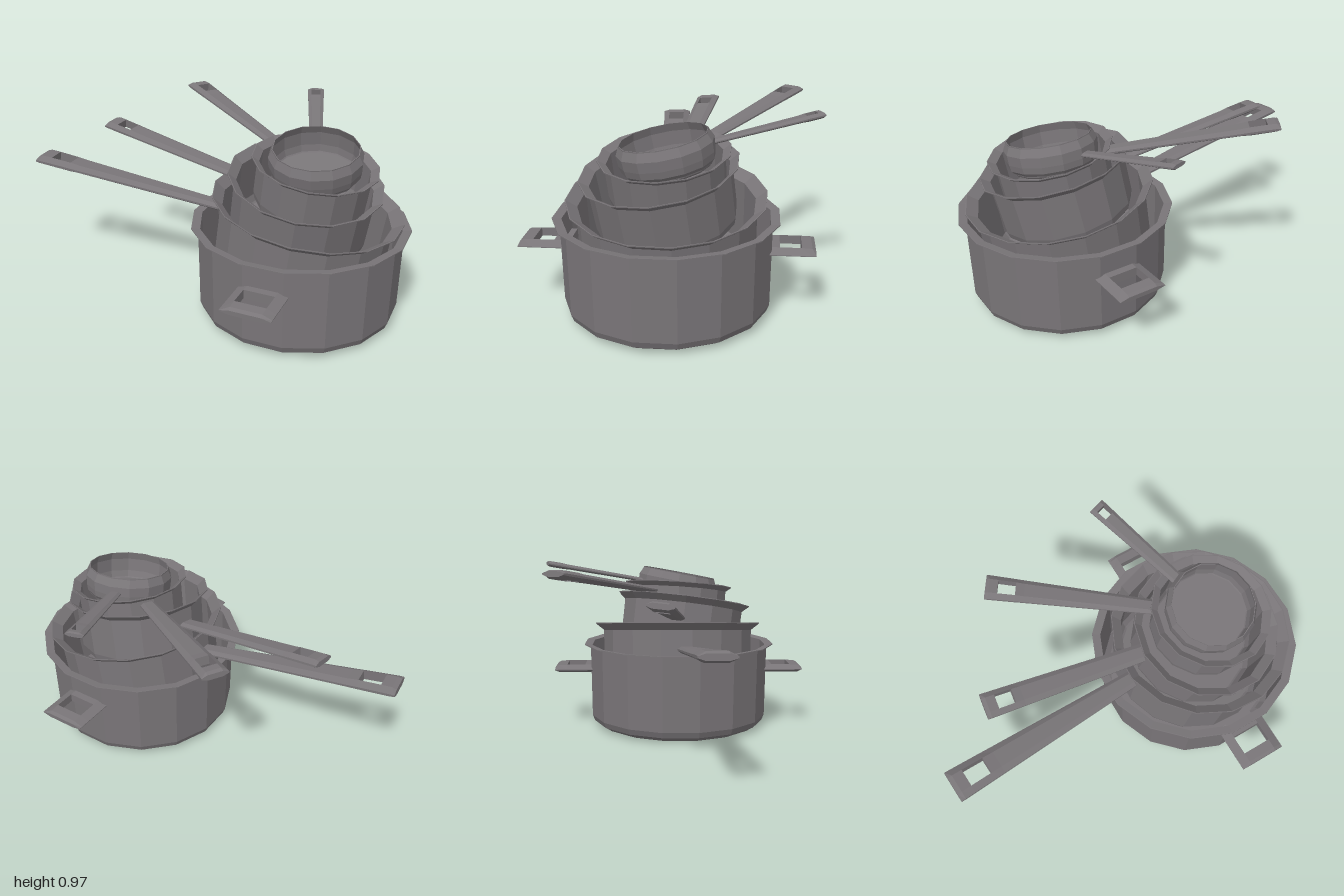
import * as THREE from 'three';

const material = new THREE.MeshStandardMaterial({
  color: 0x797578, flatShading: true, side: THREE.DoubleSide,
});

function addMesh(parent, name, geometry) {
  const mesh = new THREE.Mesh(geometry, material);
  mesh.name = name;
  parent.add(mesh);
  return mesh;
}

// Bar along +x, thick in the middle and thin at its long edges, with a square hole.
// rows: [x, width, thickness]; the hole lies between rows holeRow and holeRow + 1
function barGeometry(rows, holeRow, holeRatio, edge) {
  const across = [-1, -holeRatio, holeRatio, 1];
  const positions = [];
  const point = (i, j, s) => {
    const [x, width, thick] = rows[i];
    const outer = j === 0 || j === 3;
    return [x, s * thick / 2 * (outer ? edge : 1), across[j] * width / 2];
  };
  const quad = (corners, flip) => {
    const [a, b, c, d] = (flip ? corners.reverse() : corners).map((q) => point(...q));
    positions.push(...a, ...b, ...c, ...a, ...c, ...d);
  };
  const sideWall = (i, j, flip) =>
    quad([[i, j, 1], [i + 1, j, 1], [i + 1, j, -1], [i, j, -1]], flip);
  const endWall = (i, j, flip) =>
    quad([[i, j, 1], [i, j, -1], [i, j + 1, -1], [i, j + 1, 1]], flip);

  const last = rows.length - 1;
  for (let i = 0; i < last; i++) {
    for (let j = 0; j < 3; j++) {
      if (i === holeRow && j === 1) continue;
      for (const s of [1, -1])
        quad([[i, j, s], [i, j + 1, s], [i + 1, j + 1, s], [i + 1, j, s]], s < 0);
    }
    sideWall(i, 0, false);
    sideWall(i, 3, true);
  }
  for (let j = 0; j < 3; j++) {
    endWall(0, j, false);
    endWall(last, j, true);
  }
  // Walls of the hole
  sideWall(holeRow, 1, true);
  sideWall(holeRow, 2, false);
  endWall(holeRow, 1, true);
  endWall(holeRow + 1, 1, false);

  const geometry = new THREE.BufferGeometry();
  geometry.setAttribute('position', new THREE.Float32BufferAttribute(positions, 3));
  geometry.computeVertexNormals();
  return geometry;
}

// Thin-walled vessel; y = 0 is the rim, r the body radius, R the rim radius
function vesselGeometry(r, R, h, lip, sides) {
  const t = 0.01;
  const profile = [
    [0, -h], [r * 0.85, -h], [r * 0.965, -h + 0.032], [r * 0.99, -h + 0.065],
    [r, -lip], [R, -0.005], [R, 0], [R - 0.004, 0], [r - t, -lip + 0.004],
    [r * 0.99 - t, -h + 0.05], [r * 0.9, -h + t], [0, -h + t],
  ].map(([x, y]) => new THREE.Vector2(x, y));
  return new THREE.LatheGeometry(profile, sides);
}

// rim: rim centre; slope: rise of the rim plane along x and z; end: handle tip in x and z;
// w: handle width at root and tip; hole: its length; gap: hole to tip
const pans = [
  { name: 'largeSaucepan', rim: [0.478, 0.595, -0.012], slope: [-0.135, 0.03], r: 0.44, R: 0.487, h: 0.42,
    lip: 0.042, sides: 16, end: [-0.948, 0.447], drop: 0.15, w: [0.09, 0.17], hole: 0.115, gap: 0.077, thick: 0.052 },
  { name: 'mediumSaucepan', rim: [0.485, 0.735, 0.025], slope: [-0.19, -0.08], r: 0.352, R: 0.39, h: 0.33,
    lip: 0.038, sides: 14, end: [-0.692, 0.155], drop: 0.127, w: [0.095, 0.132], hole: 0.087, gap: 0.065, thick: 0.044 },
  { name: 'smallSaucepan', rim: [0.512, 0.82, -0.015], slope: [-0.16, -0.03], r: 0.287, R: 0.318, h: 0.26,
    lip: 0.028, sides: 14, end: [-0.545, -0.398], drop: 0.055, w: [0.08, 0.132], hole: 0.088, gap: 0.06, thick: 0.044 },
  { name: 'tinySaucepan', rim: [0.512, 0.895, -0.01], slope: [-0.08, -0.17], r: 0.235, R: 0.216, h: 0.16,
    lip: 0.045, sides: 14, end: [0.105, -0.665], drop: 0.08, w: [0.065, 0.092], hole: 0.058, gap: 0.03, thick: 0.03 },
];

function createPan(p) {
  const pan = new THREE.Group();
  pan.name = p.name;
  const [sx, sz] = p.slope;
  pan.position.set(...p.rim);
  pan.quaternion.setFromUnitVectors(
    new THREE.Vector3(0, 1, 0), new THREE.Vector3(-sx, 1, -sz).normalize());
  addMesh(pan, 'panBody', vesselGeometry(p.r, p.R, p.h, p.lip, p.sides));

  // Long handle widening towards its tip, with a hanging hole
  const dx = p.end[0] - p.rim[0], dz = p.end[1] - p.rim[2];
  const tip = Math.hypot(dx, dz, sx * dx + sz * dz);
  const root = p.r - 0.013;
  const holeEnd = tip - p.gap;
  const rows = [
    [root, 0.7], [holeEnd - p.hole * 1.5, 0.85], [holeEnd - p.hole, 1],
    [holeEnd, 1], [tip - p.gap * 0.3, 0.95], [tip, 0.6],
  ].map(([x, k]) => [
    x, THREE.MathUtils.mapLinear(x, root, tip, p.w[0], p.w[1]), p.thick * k,
  ]);
  const handle = addMesh(pan, 'longHandle', barGeometry(rows, 2, 0.57, 0.25));
  handle.position.y = -p.drop;
  handle.rotation.y = Math.atan2(-dz, dx);
  return pan;
}

export function createModel() {
  const model = new THREE.Group();
  model.name = 'stackedPans';

  // Stock pot at the bottom of the stack
  const pot = new THREE.Group();
  pot.name = 'stockPot';
  pot.position.set(0.443, 0.49, 0);
  model.add(pot);
  addMesh(pot, 'potBody', vesselGeometry(0.522, 0.557, 0.49, 0.01, 16)).rotation.y = 0.04;

  // Two loop handles on opposite sides
  const loopRows = [
    [0.47, 0.25, 0.045], [0.55, 0.25, 0.045], [0.655, 0.25, 0.045],
    [0.705, 0.25, 0.04], [0.722, 0.25, 0.022],
  ];
  for (const side of [0, 1]) {
    const loop = addMesh(pot, side ? 'backLoopHandle' : 'frontLoopHandle',
      barGeometry(loopRows, 1, 0.62, 0.08));
    loop.position.y = -0.15;
    loop.rotation.y = -Math.PI / 2 + 0.235 + side * Math.PI;
  }

  // Nested saucepans, each tipped up by its own handle
  for (const p of pans) model.add(createPan(p));
  return model;
}
